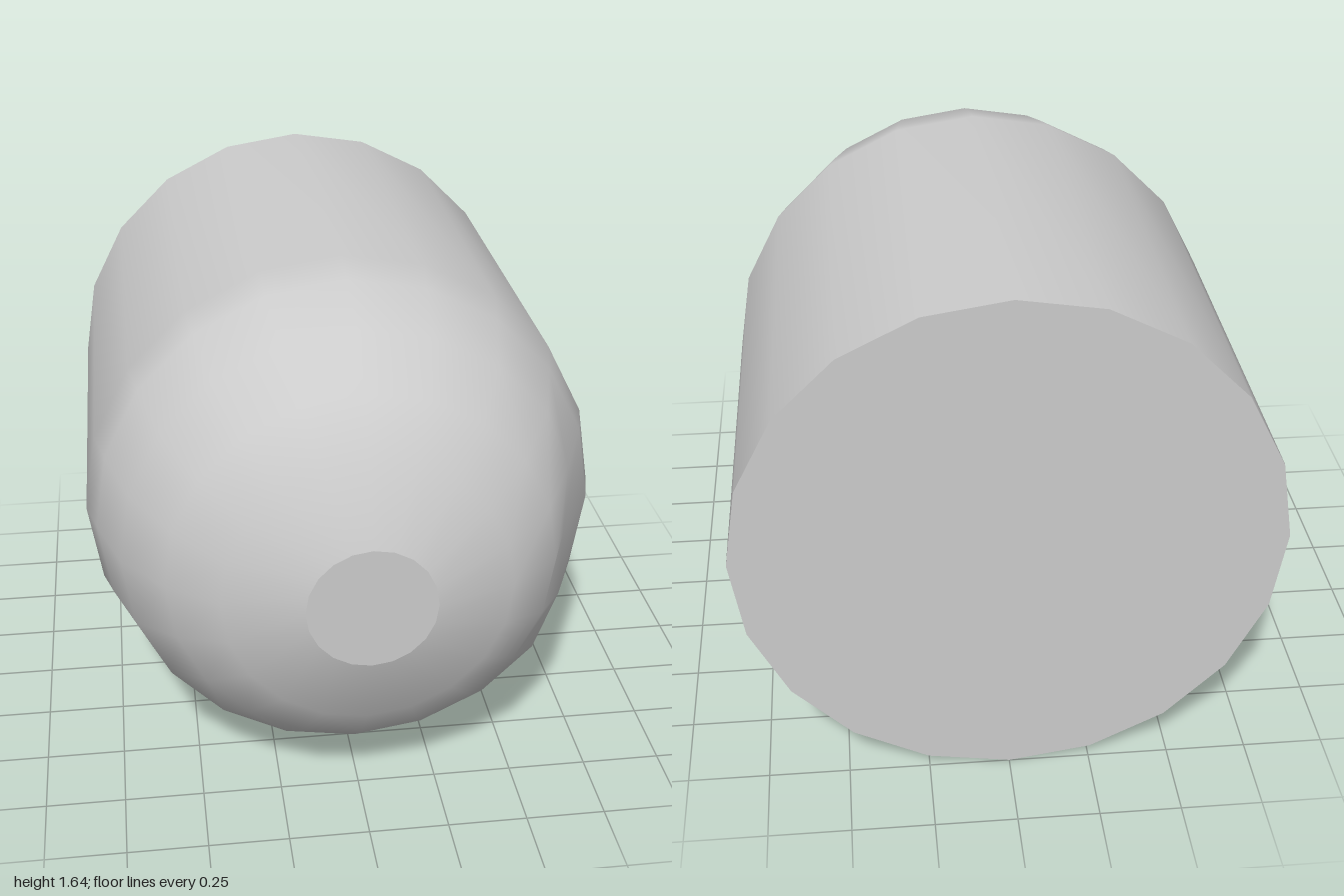
import * as THREE from 'three';
import { mergeVertices } from 'three/addons/utils/BufferGeometryUtils.js';

const SIDES = 20, RADIUS = 0.82, NOSE = 0.195;

export function createModel() {
  const group = new THREE.Group();
  const material = new THREE.MeshStandardMaterial({ color: 0xcccccc });

  const add = (name, geometry) => {
    const mesh = new THREE.Mesh(geometry, material);
    mesh.name = name;
    mesh.position.y = RADIUS;
    group.add(mesh);
  };

  // Straight barrel and rounded nose, turned about z: [radius, z]
  const profile = [
    [RADIUS, -1], [RADIUS, 0.3], [0.787, 0.42], [0.717, 0.64],
    [0.59, 0.8], [0.435, 0.92], [NOSE, 1],
  ].map(([r, z]) => new THREE.Vector2(r, z));
  let shell = new THREE.LatheGeometry(profile, SIDES).rotateX(Math.PI / 2);
  shell.deleteAttribute('uv');
  shell.deleteAttribute('normal');
  shell = mergeVertices(shell);

  // Shallow dent on the left side of the nose
  const pos = shell.attributes.position;
  for (let i = 0; i < pos.count; i++) {
    const x = pos.getX(i);
    if (Math.abs(pos.getZ(i) - 0.64) < 0.01 && x > 0.655) pos.setX(i, 0.655);
  }
  shell.computeVertexNormals();
  add('shell', shell);

  // Flat ends
  add('noseCap', new THREE.CircleGeometry(NOSE, SIDES).translate(0, 0, 1));
  add('backCap', new THREE.CircleGeometry(RADIUS, SIDES).rotateY(Math.PI).translate(0, 0, -1));

  return group;
}
